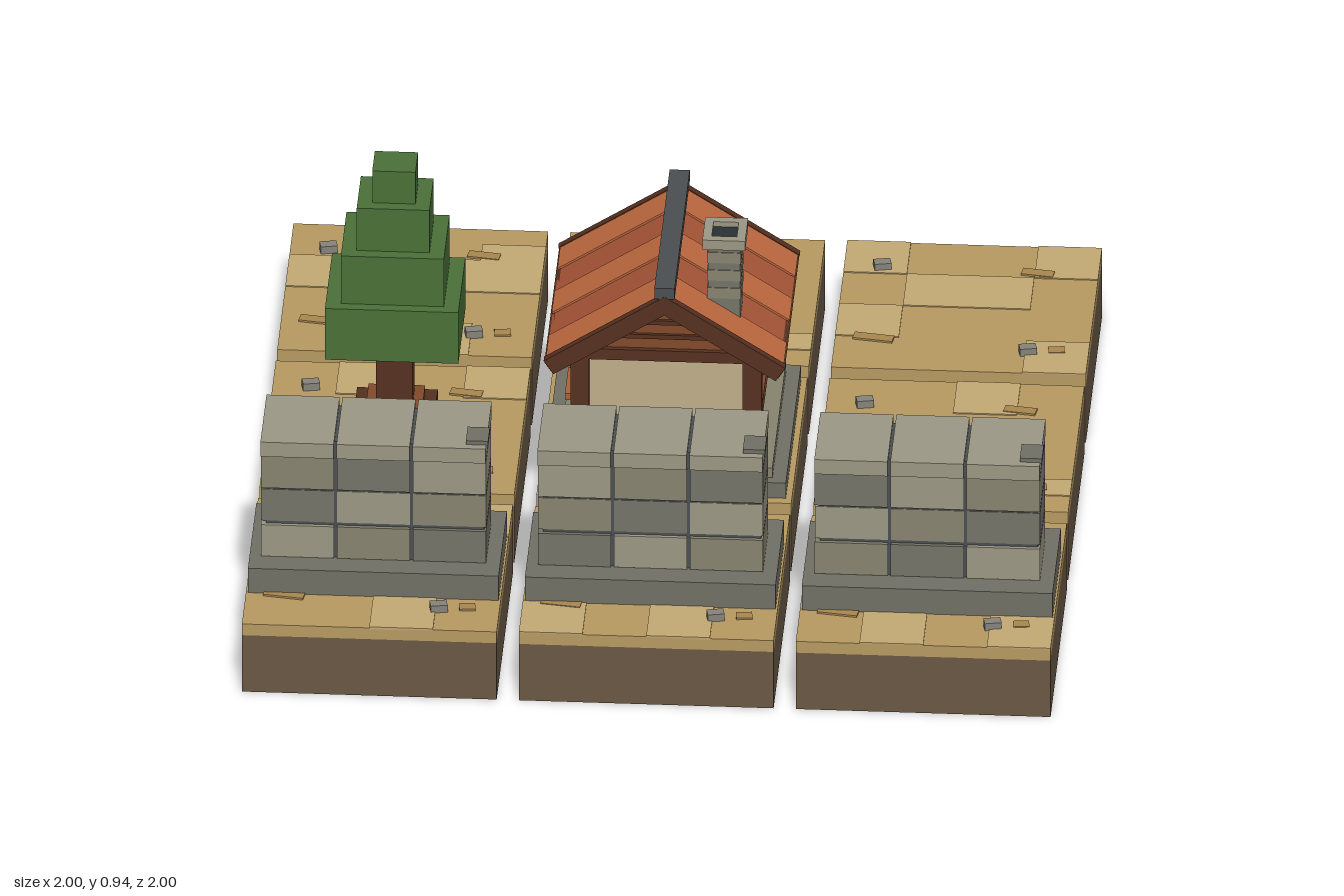
import * as THREE from 'three';

const C = {
  dirt: 0x6b5845, sand: 0xb89a62, sandLight: 0xc4aa74, sandDark: 0xa98850, pebble: 0x85837a,
  base: 0x717065, stone: [0x9c9885, 0x757468, 0x87836f], dark: 0x4a4f52, soot: 0x2b3036,
  wood: 0x55301f, wood2: 0x824a2c, wood3: 0xa8643a, cream: 0xbfae88, glass: 0x5f7f88,
  tile: [0xc06a40, 0xa85538], leaf: 0x4a7038, lamp: 0xd8923f,
};
const mats = new Map();
function mat(color) {
  if (!mats.has(color)) mats.set(color, new THREE.MeshStandardMaterial({ color }));
  return mats.get(color);
}
function group(parent, name, x = 0, y = 0, z = 0) {
  const g = new THREE.Group();
  g.name = name;
  g.position.set(x, y, z);
  parent.add(g);
  return g;
}
function add(parent, name, color, geometry) {
  const m = new THREE.Mesh(geometry, mat(color));
  m.name = name;
  parent.add(m);
  return m;
}
// Box given by its limits on each axis
function span(parent, name, color, x0, x1, y0, y1, z0, z1) {
  const m = add(parent, name, color, new THREE.BoxGeometry(x1 - x0, y1 - y0, z1 - z0));
  m.position.set((x0 + x1) / 2, (y0 + y1) / 2, (z0 + z1) / 2);
  return m;
}

// Ground tile with flat patches [column, row, width, depth] on a 4 x 4 grid
function groundTile(parent, x, z, patches) {
  const g = group(parent, 'groundTile', x, 0, z);
  const h = 0.315, s = h / 2;
  span(g, 'dirtBlock', C.dirt, -h, h, 0, 0.16, -h, h);
  span(g, 'sandLayer', C.sand, -h, h, 0.16, 0.192, -h, h);
  for (const [c, r, w, d] of patches)
    span(g, 'lightPatch', C.sandLight, -h + c * s, -h + (c + w) * s, 0.188, 0.195, -h + r * s, -h + (r + d) * s);
  for (const [px, pz, w, a] of [[0.165, -0.18, 0.08, -0.15], [-0.22, 0.165, 0.1, -0.15], [0.235, 0.2, 0.04, 0.1]]) {
    const m = span(g, 'darkPatch', C.sandDark, px - w / 2, px + w / 2, 0.188, 0.197, pz - 0.015, pz + 0.015);
    m.rotation.y = a;
  }
  for (const [px, pz] of [[-0.22, -0.185], [0.165, 0.215]]) {
    const m = span(g, 'pebble', C.pebble, px - 0.021, px + 0.021, 0.19, 0.212, pz - 0.014, pz + 0.014);
    m.rotation.y = 0.2;
  }
}

// Stone wall: plinth, three courses of blocks, capstones, rear posts
function wall(parent, x, shift) {
  const g = group(parent, 'stoneWall', x, 0, 0.685);
  span(g, 'plinth', C.base, -0.31, 0.31, 0.193, 0.262, -0.165, 0.16);
  span(g, 'core', C.dark, -0.27, 0.27, 0.26, 0.59, -0.09, 0.09);
  const w = 0.188;
  for (let col = 0; col < 3; col++) {
    const x0 = -0.282 + col * w, x1 = x0 + w - 0.007;
    for (let row = 0; row < 3; row++) {
      const y0 = 0.264 + row * 0.097;
      const tone = C.stone[(col * 2 + row + shift) % 3];
      span(g, 'wallBlock', tone, x0, x1, y0, y0 + 0.089, -0.1, 0.1 - (row === 1 ? 0.008 : 0));
    }
    span(g, 'capstone', C.stone[0], x0, x1, 0.555, 0.596, -0.122, 0.115);
  }
  span(g, 'looseStone', C.base, 0.225, 0.28, 0.594, 0.607, 0.025, 0.095);
  for (const px of [-0.22, 0.2]) {
    const post = add(g, 'rearPost', C.dark, new THREE.CylinderGeometry(0.02, 0.02, 0.29, 8));
    post.position.set(px, 0.41, -0.11);
    for (const y of [0.3, 0.5]) span(g, 'postBand', C.soot, px - 0.025, px + 0.025, y, y + 0.02, -0.128, -0.09);
  }
}

function tree(parent) {
  const g = group(parent, 'tree', -0.685, 0, -0.005);
  span(g, 'rootBase', C.wood, -0.1, 0.1, 0.19, 0.25, -0.09, 0.09);
  span(g, 'rootStep', C.wood2, -0.07, 0.07, 0.25, 0.275, -0.065, 0.065);
  span(g, 'trunk', C.wood, -0.045, 0.045, 0.275, 0.46, -0.04, 0.04);
  for (const [w, d, y0, y1] of [[0.33, 0.275, 0.455, 0.6], [0.255, 0.22, 0.6, 0.735], [0.18, 0.16, 0.735, 0.855], [0.107, 0.1, 0.855, 0.945]])
    span(g, 'foliageTier', C.leaf, -w / 2, w / 2, y0, y1, -d / 2, d / 2);
}

// Window built facing +z, then turned to its wall
function windowUnit(parent, x, y, z, turn, w = 0.09) {
  const g = group(parent, 'window', x, y, z);
  g.rotation.y = turn;
  const a = w / 2;
  span(g, 'glass', C.glass, -a, a, -0.05, 0.05, -0.005, 0.006);
  for (const s of [-1, 1]) {
    span(g, 'sideFrame', C.wood, s * a - 0.008, s * a + 0.008, -0.055, 0.055, -0.005, 0.016);
    span(g, 'crossFrame', C.wood, -a, a, s * 0.05 - 0.008, s * 0.05 + 0.008, -0.005, 0.016);
  }
  span(g, 'mullion', C.dark, -0.004, 0.004, -0.05, 0.05, 0, 0.012);
  span(g, 'sill', C.wood3, -a - 0.015, a + 0.015, -0.075, -0.057, -0.005, 0.032);
}

function house(parent) {
  const g = group(parent, 'house');
  span(g, 'lowerFoundation', C.base, -0.3, 0.3, 0.19, 0.235, -0.3, 0.29);
  span(g, 'upperFoundation', C.stone[2], -0.265, 0.265, 0.235, 0.262, -0.265, 0.265);
  span(g, 'walls', C.cream, -0.222, 0.222, 0.26, 0.56, -0.222, 0.222);
  // Timber frame
  for (const s of [-1, 1]) {
    for (const t of [-1, 1]) {
      const x = s * 0.213, z = t * 0.213;
      span(g, 'cornerPost', C.wood, x - 0.023, x + 0.023, 0.26, 0.56, z - 0.023, z + 0.023);
      span(g, 'postFooting', C.dark, x - 0.027, x + 0.027, 0.26, 0.345, z - 0.027, z + 0.027);
    }
    const a = s * 0.224;
    span(g, 'sideRail', C.wood2, a - 0.006, a + 0.006, 0.31, 0.35, -0.2, 0.2);
    span(g, 'endRail', C.wood2, -0.2, 0.2, 0.31, 0.35, a - 0.006, a + 0.006);
    span(g, 'sideTopBeam', C.wood, a - 0.01, a + 0.01, 0.535, 0.56, -0.22, 0.22);
    span(g, 'endTopBeam', C.wood, -0.235, 0.235, 0.54, 0.57, a - 0.014, a + 0.014);
  }
  // Gable body under the roof
  const tri = new THREE.Shape([[-0.245, 0.555], [0.245, 0.555], [0, 0.722]].map((p) => new THREE.Vector2(...p)));
  const gable = add(g, 'gable', C.wood2, new THREE.ExtrudeGeometry(tri, { depth: 0.45, bevelEnabled: false }));
  gable.position.z = -0.225;
  for (const y of [0.6, 0.64]) {
    const w = (0.72 - y) * 1.1;
    span(g, 'gableBoard', C.wood, -w, w, y, y + 0.012, -0.233, 0.233);
  }
  // Roof: five strips per slope, bargeboards and eaves
  const slope = Math.atan2(0.19, 0.295), len = 0.35;
  for (const s of [-1, 1]) {
    const r = group(g, 'roofSlope', 0, 0.753, 0);
    r.rotation.z = s > 0 ? -slope : Math.PI + slope;
    const up = s; // the mirrored slope is turned over, so its outside is -y
    const slab = (name, color, x0, x1, t0, t1, z0, z1) =>
      span(r, name, color, x0, x1, Math.min(up * t0, up * t1), Math.max(up * t0, up * t1), z0, z1);
    for (let i = 0; i < 5; i++) {
      const z0 = -0.275 + i * 0.11;
      slab('roofStrip', C.tile[i % 2], 0, len, -0.022, i % 2 ? -0.004 : 0, z0, z0 + 0.108);
    }
    slab('roofDeck', C.wood, 0, len - 0.005, -0.032, -0.012, -0.278, 0.278);
    for (const z of [-0.283, 0.283]) slab('bargeboard', C.wood, 0, len + 0.004, -0.042, 0.002, z - 0.011, z + 0.011);
    slab('eaveTrim', C.wood, len - 0.008, len + 0.006, -0.034, -0.004, -0.29, 0.29);
  }
  span(g, 'ridgeCap', C.dark, -0.025, 0.025, 0.748, 0.779, -0.3, 0.293);
  // Chimney
  const ch = group(g, 'chimney', 0.14, 0, 0.13);
  span(ch, 'stack', C.stone[1], -0.04, 0.04, 0.62, 0.84, -0.046, 0.046);
  for (const y of [0.69, 0.74, 0.79]) span(ch, 'stackCourse', C.stone[2], -0.042, 0.042, y, y + 0.03, -0.048, 0.048);
  for (const s of [-1, 1]) {
    span(ch, 'capSide', C.stone[0], s * 0.042 - 0.011, s * 0.042 + 0.011, 0.833, 0.86, -0.058, 0.058);
    span(ch, 'capEnd', C.stone[0], -0.04, 0.04, 0.833, 0.86, s * 0.047 - 0.011, s * 0.047 + 0.011);
  }
  span(ch, 'flue', C.soot, -0.034, 0.034, 0.83, 0.846, -0.04, 0.04);
  // Rear entrance
  span(g, 'doorStep', C.base, -0.17, 0.06, 0.19, 0.25, -0.312, -0.25);
  span(g, 'doorFrame', C.wood, -0.125, 0.015, 0.26, 0.475, -0.238, -0.22);
  span(g, 'door', C.wood3, -0.108, -0.002, 0.26, 0.457, -0.246, -0.23);
  for (const y of [0.3, 0.41]) span(g, 'doorStrap', C.dark, -0.108, -0.002, y, y + 0.012, -0.25, -0.24);
  span(g, 'doorHandle', C.lamp, -0.1, -0.088, 0.35, 0.37, -0.262, -0.245);
  span(g, 'doorHood', C.wood2, -0.135, 0.025, 0.475, 0.492, -0.262, -0.22);
  span(g, 'lampBracket', C.dark, 0.034, 0.046, 0.445, 0.457, -0.265, -0.22);
  span(g, 'lamp', C.lamp, 0.03, 0.05, 0.405, 0.445, -0.27, -0.25);
  windowUnit(g, 0.13, 0.44, -0.223, Math.PI);
  windowUnit(g, -0.16, 0.44, -0.223, Math.PI, 0.05);
  for (const z of [-0.08, 0.09]) windowUnit(g, -0.223, 0.45, z, -Math.PI / 2, 0.1);
}

export function createModel() {
  const root = new THREE.Group();
  root.name = 'villageTiles';
  const step = 0.685;
  const patches = [
    [[1, 0, 1, 1], [0, 1, 3, 1], [3, 0.5, 1, 1.5], [2, 3, 1, 1]],
    [[2, 3, 1, 1], [3, 3, 1, 0.5]],
    [[1, 1, 2, 1], [3, 0, 1, 1], [0, 0, 1, 1], [0, 2, 1, 1], [3, 3, 1, 1]],
    [[1, 0, 1, 1], [3, 0, 1, 1], [2, 3, 1, 1]],
    [[0, 3, 1, 1]],
    [[2, 0, 1, 1], [1, 3, 1, 1], [3, 3, 1, 0.5]],
    [[1, 0, 1, 1], [3, 0, 1, 1], [2, 3, 1, 1]],
    [[2, 0, 1, 1], [0, 3, 1, 1], [2, 3, 1, 1]],
    [[2, 0, 1, 1], [1, 3, 1, 1], [3, 3, 1, 1]],
  ];
  for (let i = 0; i < 9; i++)
    groundTile(root, ((i % 3) - 1) * step, (Math.floor(i / 3) - 1) * step, patches[i]);
  for (let i = -1; i <= 1; i++) wall(root, i * step, i + 1);
  tree(root);
  house(root);
  return root;
}
